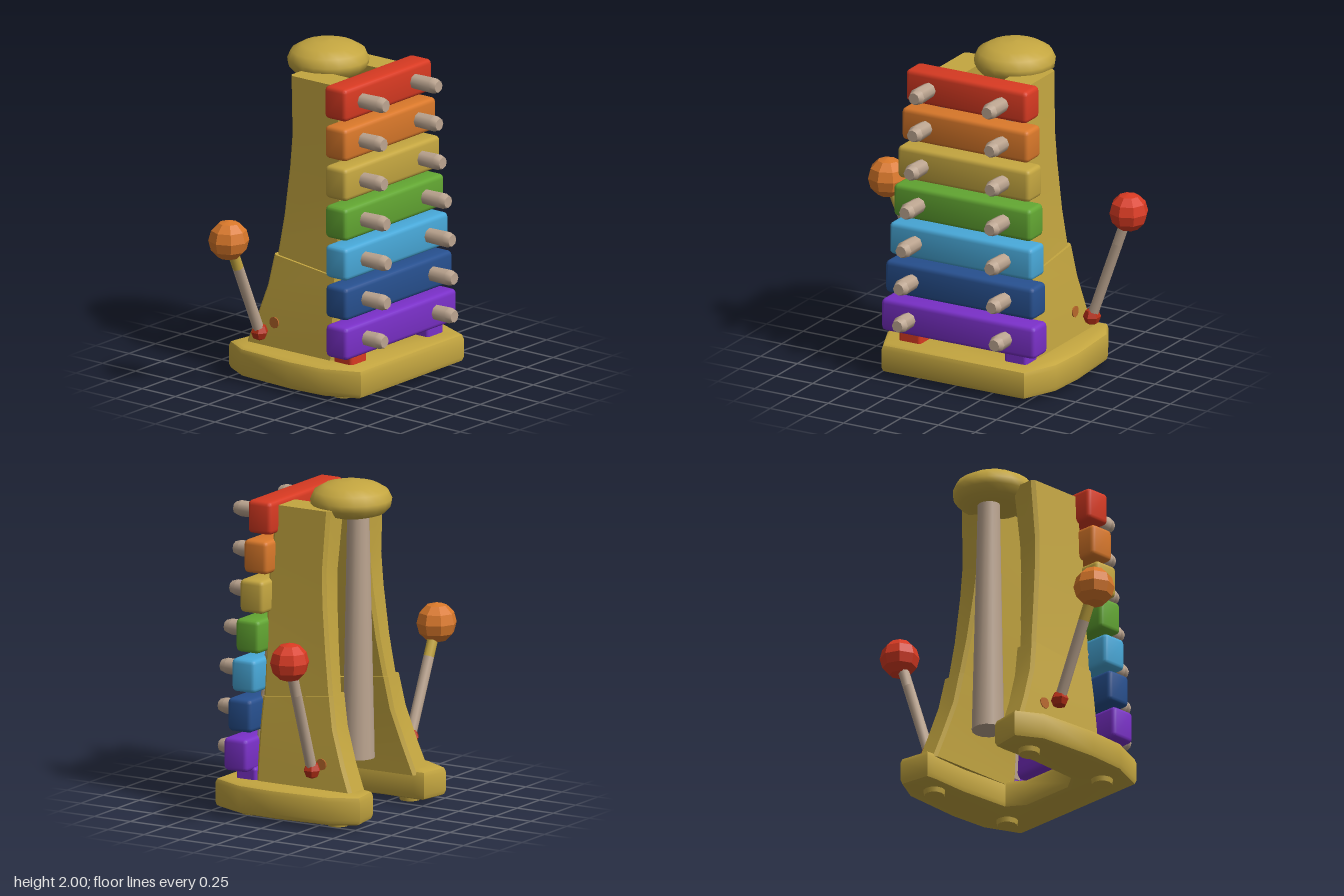
import * as THREE from 'three';
import { toCreasedNormals } from 'three/addons/utils/BufferGeometryUtils.js';
import { RoundedBoxGeometry } from 'three/addons/geometries/RoundedBoxGeometry.js';

const MID = -0.035; // z of the toy's mirror plane

const mat = (name, color) => {
  const m = new THREE.MeshStandardMaterial({ color });
  m.name = name;
  return m;
};

// Solid through rectangular rings with cut corners: [y at x0, y at x1, x0, x1, inner z, outer z]
function loft(rings, side) {
  const pos = [], idx = [], n = 8, b = 0.02;
  for (const [ya, yb, x0, x1, zi, zo] of rings) {
    const ring = [[x0 + b, zi], [x0, zi + b], [x0, zo - b], [x0 + b, zo],
      [x1 - b, zo], [x1, zo - b], [x1, zi + b], [x1 - b, zi]];
    for (const [x, z] of ring) pos.push(x, ya + (yb - ya) * (x - x0) / (x1 - x0), MID + side * z);
  }
  const tri = (a, c, d) => (side > 0 ? idx.push(a, c, d) : idx.push(a, d, c));
  for (let r = 0; r < rings.length - 1; r++) {
    for (let i = 0; i < n; i++) {
      const a = r * n + i, c = r * n + (i + 1) % n;
      tri(a, c, c + n);
      tri(a, c + n, a + n);
    }
  }
  const top = (rings.length - 1) * n;
  for (let i = 1; i < n - 1; i++) {
    tri(0, i + 1, i);
    tri(top, top + i, top + i + 1);
  }
  const g = new THREE.BufferGeometry();
  g.setAttribute('position', new THREE.Float32BufferAttribute(pos, 3));
  g.setIndex(idx);
  return toCreasedNormals(g, 0.5);
}

export function createModel() {
  const model = new THREE.Group();
  model.name = 'xylophoneTower';
  const yellow = mat('yellow', 0xc4a640), wood = mat('paleWood', 0xbca590);
  const red = mat('red', 0xd83a22), orange = mat('orange', 0xd9782a);
  const green = mat('green', 0x62a632), sky = mat('lightBlue', 0x48a8d8);
  const blue = mat('darkBlue', 0x27508f), purple = mat('purple', 0x7a30c8);
  const darkRed = mat('darkRed', 0xb83018), rust = mat('rust', 0xb9682b);

  const add = (name, geo, material, x = 0, y = 0, z = 0) => {
    const m = new THREE.Mesh(geo, material);
    m.name = name;
    m.position.set(x, y, z);
    model.add(m);
    return m;
  };
  // Round bar between two points
  const rod = (name, a, b, ra, rb, material, sides = 8) => {
    const p = new THREE.Vector3(...a), q = new THREE.Vector3(...b), d = q.clone().sub(p);
    const m = add(name, toCreasedNormals(new THREE.CylinderGeometry(rb, ra, d.length(), sides), 0.9), material);
    m.position.copy(p).add(q).multiplyScalar(0.5);
    m.quaternion.setFromUnitVectors(new THREE.Vector3(0, 1, 0), d.normalize());
  };

  // U-shaped base, open towards -x
  const half = [[-0.51, 0.285], [-0.54, 0.48], [-0.38, 0.57], [0, 0.595], [0.24, 0.58], [0.46, 0.485]];
  const inner = [[0.19, 0.17], [0.12, 0.27], [-0.2, 0.29], [-0.44, 0.28]];
  const mirror = (pts) => pts.map(([x, z]) => [x, -z]).reverse();
  const outline = [...half, ...mirror(half), ...mirror(inner), ...inner]
    .map(([x, z]) => new THREE.Vector2(x, -z));
  const baseGeo = new THREE.ExtrudeGeometry(new THREE.Shape(outline), {
    depth: 0.11, bevelThickness: 0.035, bevelSize: 0.03, bevelOffset: -0.03, bevelSegments: 2,
  });
  baseGeo.rotateX(-Math.PI / 2);
  add('base', toCreasedNormals(baseGeo, 0.7), yellow, 0, 0.065, MID);
  for (const x of [-0.34, 0.26]) {
    for (const s of [1, -1]) {
      add('foot', new THREE.CylinderGeometry(0.07, 0.06, 0.05, 12), yellow, x, 0.025, MID + s * 0.4);
    }
  }

  // Two leaning side walls, each with a wider lower sleeve and a peg rail
  for (const s of [1, -1]) {
    add('sideWall', loft([
      [0.2, 0.2, -0.4, 0.2, 0.29, 0.41],
      [0.75, 0.75, -0.275, 0.2, 0.24, 0.37],
      [1.0, 1.0, -0.24, 0.2, 0.21, 0.35],
      [1.3, 1.3, -0.21, 0.2, 0.18, 0.335],
      [1.5, 1.5, -0.2, 0.19, 0.16, 0.325],
      [1.86, 1.86, -0.22, 0.15, 0.13, 0.31],
    ], s), yellow);
    add('wallSleeve', loft([
      [0.18, 0.18, -0.46, 0.21, 0.27, 0.44],
      [0.36, 0.36, -0.39, 0.21, 0.26, 0.425],
      [0.57, 0.56, -0.32, 0.205, 0.24, 0.405],
      [0.765, 0.71, -0.285, 0.2, 0.225, 0.385],
    ], s), yellow);
    add('barRail', loft([
      [0.25, 0.25, 0.14, 0.27, 0.28, 0.38],
      [1.0, 1.0, 0.14, 0.22, 0.23, 0.33],
      [1.75, 1.75, 0.1, 0.18, 0.18, 0.27],
    ], s), wood);
    add('railFoot', new RoundedBoxGeometry(0.14, 0.1, 0.15, 2, 0.02), s > 0 ? red : purple,
      0.28, 0.235, MID + s * 0.36);
    const spot = add('malletSocket', new THREE.CylinderGeometry(0.035, 0.035, 0.008, 10), rust,
      -0.24, 0.36, MID + s * 0.428);
    spot.rotation.x = Math.PI / 2;
  }

  // Seven bars, growing towards the bottom, with two pegs each
  const colors = [red, orange, yellow, green, sky, blue, purple];
  const pegEnds = [0.47, 0.465, 0.48, 0.51, 0.53, 0.535, 0.525];
  colors.forEach((c, i) => {
    const y = 1.79 - i * 0.2375, x = 0.21 + i * 0.0163, len = 0.825 + i * 0.037;
    add('toneBar', toCreasedNormals(new RoundedBoxGeometry(0.163, 0.2, len, 2, 0.028), 0.7), c, x, y, -0.025);
    for (const s of [1, -1]) {
      const z = -0.023 + s * (0.248 + i * 0.0135), end = pegEnds[i];
      rod('peg', [x - 0.1, y, z], [end - 0.04, y, z], 0.042, 0.05, wood);
      rod('pegTip', [end - 0.04, y, z], [end, y, z], 0.05, 0.036, wood);
    }
  });

  // Central column and mushroom-shaped cap
  rod('column', [-0.255, 0.33, -0.07], [-0.25, 1.85, -0.067], 0.096, 0.065, wood, 14);
  const profile = [[0, 1.8], [0.13, 1.79], [0.2, 1.81], [0.237, 1.85], [0.243, 1.89],
    [0.22, 1.94], [0.16, 1.975], [0.08, 1.995], [0, 2]].map(([r, y]) => new THREE.Vector2(r, y));
  add('cap', new THREE.LatheGeometry(profile, 20), yellow, -0.205, 0, -0.073);

  // Two mallets leaning outwards
  const mallet = (name, ball, tip, r, material) => {
    const a = new THREE.Vector3(...tip), b = new THREE.Vector3(...ball);
    const neck = a.clone().lerp(b, 0.7);
    rod(name + 'Stick', tip, neck.toArray(), 0.033, 0.033, wood);
    rod(name + 'Neck', neck.toArray(), ball, 0.033, 0.033, material === orange ? yellow : wood);
    add(name + 'Head', toCreasedNormals(new THREE.SphereGeometry(r, 8, 6), 0.3), material, ...ball);
    add(name + 'Tip', toCreasedNormals(new THREE.SphereGeometry(0.054, 6, 4), 0.3), darkRed, ...tip);
  };
  mallet('frontMallet', [-0.245, 0.97, 0.815], [-0.245, 0.335, 0.525], 0.122, orange);
  mallet('backMallet', [-0.245, 1.05, -0.825], [-0.245, 0.35, -0.575], 0.118, red);

  return model;
}
